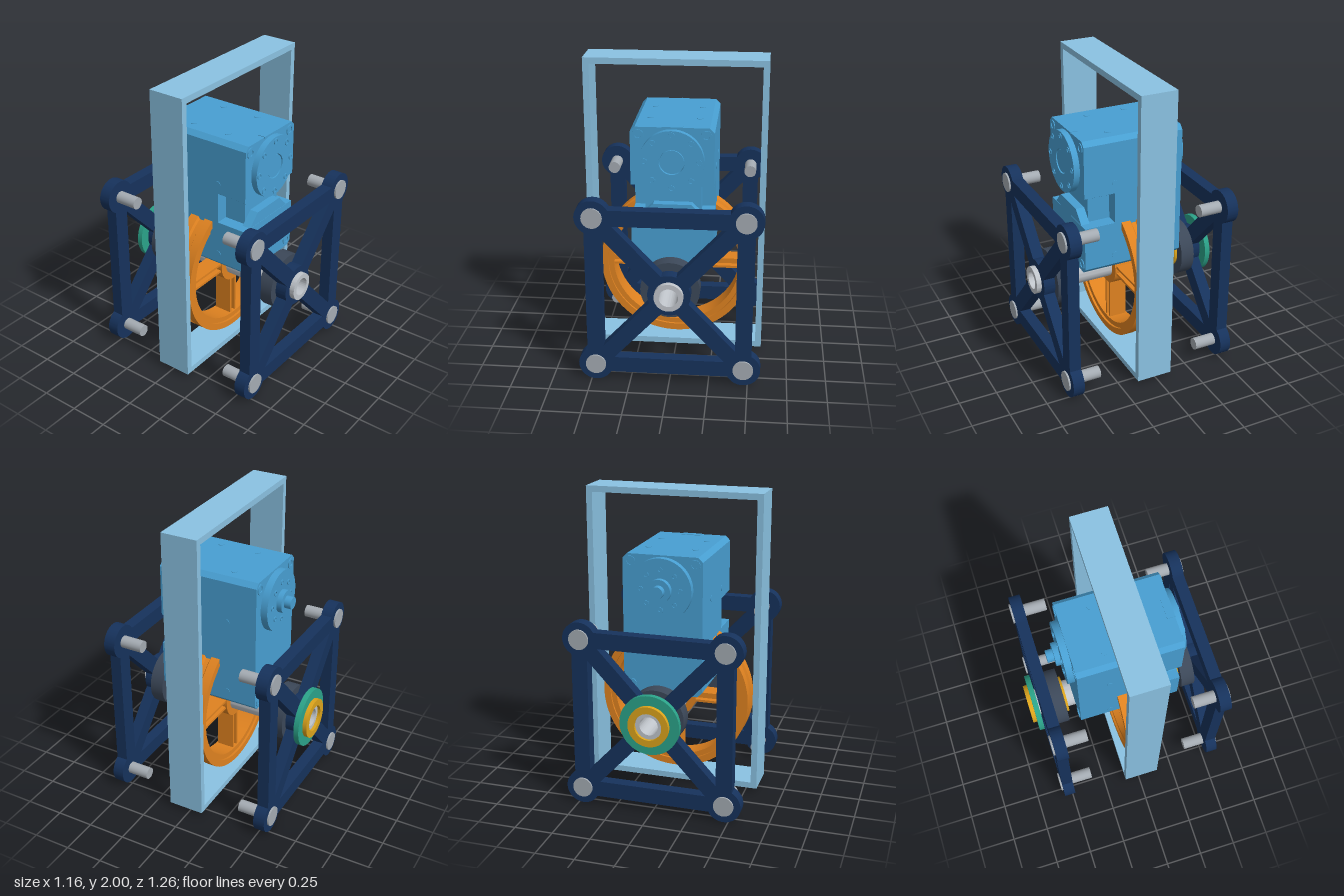
import * as THREE from 'three';
import { toCreasedNormals } from 'three/addons/utils/BufferGeometryUtils.js';

const mat = (color) => new THREE.MeshStandardMaterial({ color });
const M = {
  frame: mat(0x8ac2e2), motor: mat(0x489fd2), navy: mat(0x16325c), orange: mat(0xdf8220),
  steel: mat(0xa4abb2), shaft: mat(0xc0c5cb), gold: mat(0xdca41c), teal: mat(0x2ba389), dark: mat(0x3c4859),
};
const HUB_Y = 0.615, MOTOR_Y = 1.42;

function add(parent, name, geometry, material, x = 0, y = 0, z = 0) {
  const mesh = new THREE.Mesh(geometry, material);
  mesh.name = name;
  mesh.position.set(x, y, z);
  parent.add(mesh);
  return mesh;
}

// Solid disc along z between z0 and z1
function disc(r, z0, z1, seg = 40) {
  return new THREE.CylinderGeometry(r, r, z1 - z0, seg).rotateX(Math.PI / 2).translate(0, 0, (z0 + z1) / 2);
}

// Turned part around the z axis from a closed [radius, z] profile (counterclockwise)
function turned(profile, seg = 64) {
  const pts = [...profile, profile[0]].map(([r, z]) => new THREE.Vector2(r, z));
  return toCreasedNormals(new THREE.LatheGeometry(pts, seg).rotateX(Math.PI / 2), 0.6);
}
const ring = (ri, ro, z0, z1, seg) => turned([[ri, z0], [ro, z0], [ro, z1], [ri, z1]], seg);

function extrude(shape, z0, z1) {
  return new THREE.ExtrudeGeometry(shape, { depth: z1 - z0, bevelEnabled: false, curveSegments: 24 }).translate(0, 0, z0);
}

function box(x0, x1, y0, y1, z0, z1) {
  return new THREE.BoxGeometry(x1 - x0, y1 - y0, z1 - z0).translate((x0 + x1) / 2, (y0 + y1) / 2, (z0 + z1) / 2);
}

// Rectangle with bottom and top corner chamfers
function chamfered(w, y0, y1, cb, ct) {
  return new THREE.Shape([
    [-w + cb, y0], [w - cb, y0], [w, y0 + cb], [w, y1 - ct],
    [w - ct, y1], [-w + ct, y1], [-w, y1 - ct], [-w, y0 + cb],
  ].map(([x, y]) => new THREE.Vector2(x, y)));
}

// Cross-braced plate: round corner lugs, four cut-outs and a bored hub
function bracedPlate(z0, z1) {
  const a = 0.47, h = 0.503, w = 0.052, lug = 0.11, hubR = 0.135;
  const shape = new THREE.Shape();
  const q = Math.asin(w / lug);
  [[1, -1, -Math.PI], [1, 1, -Math.PI / 2], [-1, 1, 0], [-1, -1, Math.PI / 2]].forEach(([sx, sy, s], i) => {
    shape.absarc(sx * a, sy * h, lug, s + q, s + 1.5 * Math.PI - q, false);
  });
  shape.closePath();
  const L = Math.hypot(a, h), dx = a / L, dy = h / L, t0 = Math.sqrt(hubR ** 2 - w ** 2);
  const tTop = (h - w - w * dx) / dy, tSide = (a - w - w * dy) / dx;
  const top = { far: [tTop * dx - w * dy, h - w], near: Math.atan2(t0 * dy + w * dx, t0 * dx - w * dy) };
  const side = { far: [a - w, tSide * dy - w * dx], near: Math.atan2(t0 * dy - w * dx, t0 * dx + w * dy) };
  for (const s of [1, -1]) {
    const up = new THREE.Path();
    up.moveTo(-s * top.far[0], s * top.far[1]);
    up.lineTo(s * top.far[0], s * top.far[1]);
    const o = s > 0 ? 0 : Math.PI;
    up.absarc(0, 0, hubR, top.near + o, Math.PI - top.near + o, false);
    up.closePath();
    const across = new THREE.Path();
    across.moveTo(s * side.far[0], s * side.far[1]);
    across.lineTo(s * side.far[0], -s * side.far[1]);
    across.absarc(0, 0, hubR, -side.near + o, side.near + o, false);
    across.closePath();
    shape.holes.push(up, across);
  }
  shape.holes.push(new THREE.Path().absarc(0, 0, 0.092, 0, Math.PI * 2, true));
  return toCreasedNormals(extrude(shape, z0, z1), 0.5);
}

function buildMotor() {
  const g = new THREE.Group();
  g.name = 'motor';
  // Housing with a stepped recess in the front
  add(g, 'housing', extrude(chamfered(0.26, 0.725, 1.63, 0.03, 0.03), -0.32, 0.15), M.motor);
  add(g, 'upperHousing', extrude(chamfered(0.26, 1.255, 1.63, 0.001, 0.03), 0.15, 0.36), M.motor);
  add(g, 'lowerHousing', extrude(chamfered(0.26, 0.725, 1.05, 0.03, 0.001), 0.15, 0.36), M.motor);
  add(g, 'connector', box(-0.175, 0.175, 1.05, 1.255, 0.15, 0.3), M.motor);
  const lip = new THREE.Shape([[-0.2, 1.05], [0.2, 1.05], [0.12, 1.13], [-0.12, 1.13]].map(([x, y]) => new THREE.Vector2(x, y)));
  add(g, 'connectorLip', extrude(lip, 0.3, 0.358), M.motor);
  add(g, 'topTab', box(-0.065, 0.065, 1.62, 1.633, 0.31, 0.362), M.motor);
  // Front flange with centre boss ring
  add(g, 'frontFlange', ring(0.08, 0.2, 0.36, 0.4), M.motor, 0, MOTOR_Y);
  add(g, 'frontCap', disc(0.075, 0.36, 0.395), M.motor, 0, MOTOR_Y);
  // Back flange and stepped output shaft
  add(g, 'backFlange', disc(0.2, -0.365, -0.32, 64), M.motor, 0, MOTOR_Y);
  add(g, 'outputBoss', disc(0.075, -0.4, -0.365), M.motor, 0, MOTOR_Y);
  add(g, 'outputShaft', disc(0.04, -0.445, -0.4), M.motor, 0, MOTOR_Y);
  for (let i = 0; i < 8; i++) {
    const t = i * Math.PI / 4, x = 0.17 * Math.cos(t), y = MOTOR_Y + 0.17 * Math.sin(t);
    add(g, 'frontBolt', ring(0.012, 0.021, 0.4, 0.405, 16), M.motor, x, y);
    add(g, 'backBolt', ring(0.01, 0.018, -0.37, -0.365, 16), M.motor, 0.75 * x, MOTOR_Y + 0.75 * (y - MOTOR_Y));
  }
  for (const s of [-1, 1]) {
    for (const y of [0.775, 1.58]) {
      add(g, 'cornerScrew', ring(0.02, 0.035, 0.36, 0.366, 24), M.motor, s * 0.21, y);
      add(g, 'cornerScrew', ring(0.02, 0.035, -0.326, -0.32, 24), M.motor, s * 0.21, y);
    }
    for (const z of [-0.115, 0.15]) {
      for (const y of [0.82, 1.325])
        add(g, 'sideScrew', disc(0.02, -0.003, 0.003, 16).rotateY(Math.PI / 2), M.motor, s * 0.26, y, z);
      add(g, 'topScrew', disc(0.02, -0.003, 0.003, 16).rotateX(Math.PI / 2), M.motor, s * 0.155, 1.63, z);
    }
  }
  return g;
}

function buildWheel() {
  const g = new THREE.Group();
  g.name = 'wheel';
  g.position.set(0, HUB_Y, 0.02);
  // Rim with stepped faces and a groove round the tread
  add(g, 'rim', turned([
    [0.42, -0.07], [0.455, -0.07], [0.455, -0.085], [0.5, -0.085], [0.5, -0.025], [0.485, -0.015],
    [0.485, 0.015], [0.5, 0.025], [0.5, 0.085], [0.455, 0.085], [0.455, 0.07], [0.42, 0.07],
  ], 96), M.orange);
  add(g, 'wheelHub', ring(0.085, 0.14, -0.07, 0.07), M.orange);
  add(g, 'core', disc(0.062, -0.05, 0.05), M.orange);
  // Spokes: a web between two flanges
  for (let i = 0; i < 4; i++) {
    const spoke = new THREE.Group();
    spoke.name = 'spoke';
    spoke.rotation.z = i * Math.PI / 2;
    add(spoke, 'web', box(0.12, 0.43, -0.033, 0.033, -0.02, 0.02), M.orange);
    for (const s of [-1, 1]) add(spoke, 'flange', box(0.12, 0.43, s * 0.026 - 0.008, s * 0.026 + 0.008, -0.06, 0.06), M.orange);
    g.add(spoke);
  }
  return g;
}

// Braced plate, its pins and bearing; dir points outward along z
function buildSupport(name, zIn, dir) {
  const g = new THREE.Group();
  g.name = name;
  const span = (p, q) => [zIn + dir * p, zIn + dir * q].sort((m, n) => m - n);
  add(g, 'plate', bracedPlate(...span(0, 0.077)), M.navy, 0, HUB_Y);
  for (const x of [-0.47, 0.47]) for (const y of [0.112, 1.118]) {
    add(g, 'pin', disc(0.04, ...span(-0.147, 0.01), 32), M.steel, x, y);
    add(g, 'pinHead', disc(0.065, ...span(0.05, 0.089), 32), M.steel, x, y);
  }
  add(g, 'bearing', ring(0.09, 0.188, ...span(-0.094, 0)), M.dark, 0, HUB_Y);
  add(g, 'collar', ring(0.09, 0.124, ...span(-0.113, -0.094)), M.gold, 0, HUB_Y);
  return g;
}

export function createModel() {
  const model = new THREE.Group();
  model.name = 'wheelModule';

  // Rectangular outer frame
  const outer = chamfered(0.58, 0.03, 2, 0, 0);
  outer.holes.push(chamfered(0.54, 0.07, 1.96, 0, 0));
  add(model, 'outerFrame', extrude(outer, -0.1, 0.14), M.frame);

  model.add(buildMotor(), buildWheel());
  model.add(buildSupport('frontSupport', 0.52, 1), buildSupport('backSupport', -0.482, -1));

  // Hollow axle with a stepped retaining ring at the back
  add(model, 'axle', ring(0.06, 0.092, -0.61, 0.63), M.shaft, 0, HUB_Y);
  add(model, 'retainingRing', ring(0.09, 0.195, -0.602, -0.567), M.teal, 0, HUB_Y);
  add(model, 'endCollar', ring(0.088, 0.132, -0.63, -0.602), M.gold, 0, HUB_Y);
  return model;
}
